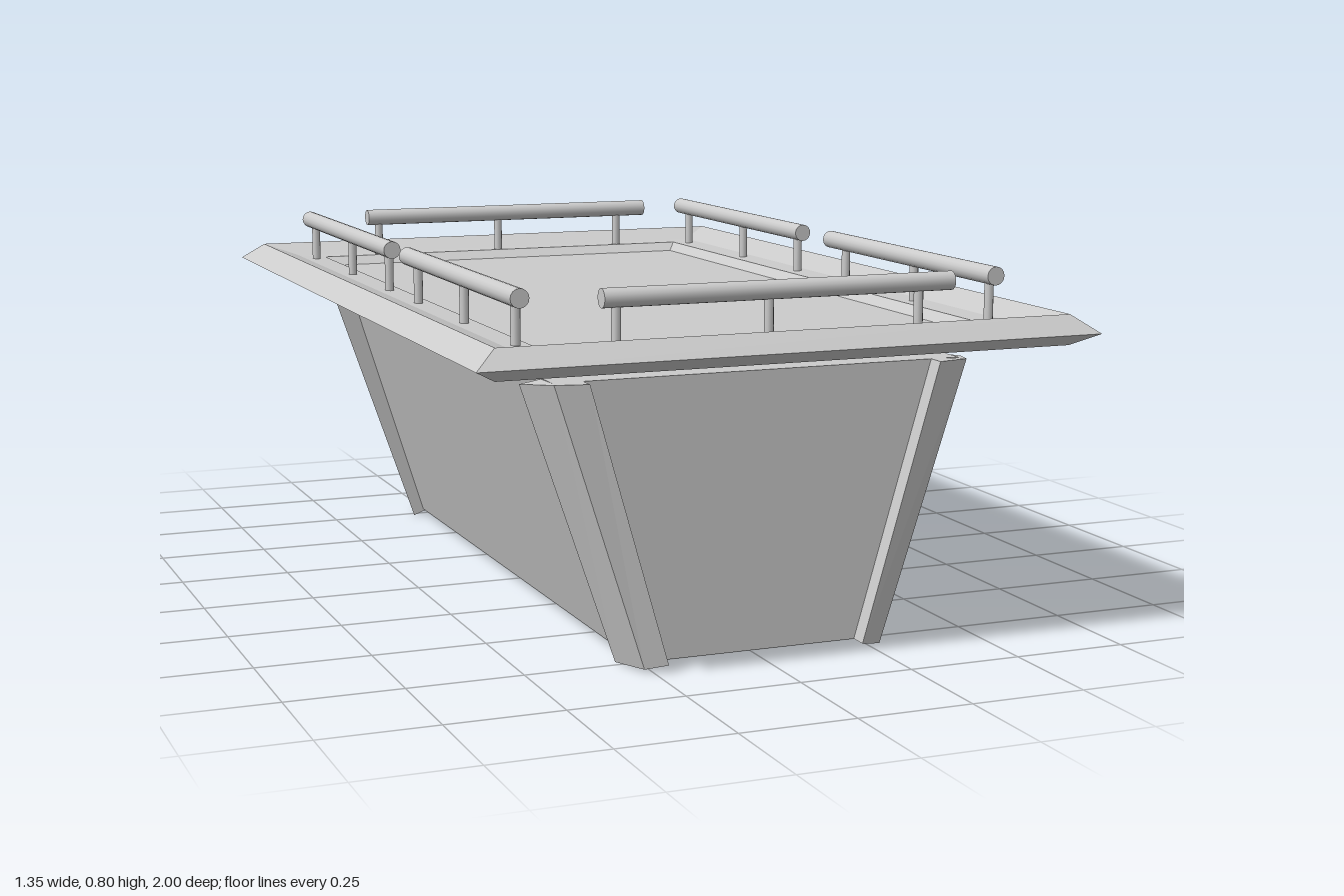
import * as THREE from 'three';

const material = new THREE.MeshStandardMaterial({ color: 0xcccccc, flatShading: true });
const smooth = new THREE.MeshStandardMaterial({ color: 0xcccccc });

// Skins a stack of equal rings (counter-clockwise seen from above, bottom to top).
function loft(rings) {
  const n = rings[0].length, pos = [];
  const tri = (a, b, c) => pos.push(...a, ...b, ...c);
  for (let r = 0; r + 1 < rings.length; r++) {
    for (let i = 0; i < n; i++) {
      const j = (i + 1) % n, lo = rings[r], hi = rings[r + 1];
      tri(lo[i], lo[j], hi[j]);
      tri(lo[i], hi[j], hi[i]);
    }
  }
  const first = rings[0], last = rings[rings.length - 1];
  for (let i = 1; i < n - 1; i++) {
    tri(first[0], first[i + 1], first[i]);
    tri(last[0], last[i], last[i + 1]);
  }
  const geometry = new THREE.BufferGeometry();
  geometry.setAttribute('position', new THREE.Float32BufferAttribute(pos, 3));
  geometry.computeVertexNormals();
  return geometry;
}

const rectangle = ([x, y, z]) => [[-x, y, z], [x, y, z], [x, y, -z], [-x, y, -z]];

function add(parent, name, geometry, mat = material) {
  const mesh = new THREE.Mesh(geometry, mat);
  mesh.name = name;
  parent.add(mesh);
  return mesh;
}

// Half width of the tapered body at a height
const bodyHalfWidth = y => 0.27 + 0.185 * (y - 0.015) / 0.59;

// Corner post: angled cross-section wrapping the body's corner and following its slope
function cornerPost(sx, sz) {
  const section = [[0, 0.78], [0, 0.84], [0.07, 0.825], [0.11, 0.73], [0.05, 0.73]];
  const ring = (y, drops, inner, scale) => section.map(([dx, z], i) =>
    [sx * (inner + dx * scale), y - drops[i], sz * z]);
  const bottom = ring(0.015, [0, 0, 0.008, 0.015, 0], 0.22, 0.68);
  const top = ring(0.605, [0, 0, 0, 0.01, 0], 0.39, 1);
  // Mirrored sections run the other way round
  if (sx * sz < 0) { bottom.reverse(); top.reverse(); }
  return loft([bottom, top]);
}

// Handrail: a round bar from one end to the other, on short stanchions
function handrail(axis, offset, from, to, stands) {
  const rail = new THREE.Group();
  rail.name = 'handrail';
  const bar = add(rail, 'railBar', new THREE.CylinderGeometry(0.02, 0.02, to - from, 16), smooth);
  const mid = (from + to) / 2;
  if (axis === 'x') {
    bar.rotation.z = Math.PI / 2;
    bar.position.set(mid, 0.777, offset);
  } else {
    bar.rotation.x = Math.PI / 2;
    bar.position.set(offset, 0.777, mid);
  }
  for (const s of stands) {
    const stand = add(rail, 'railStand', new THREE.CylinderGeometry(0.01, 0.01, 0.1, 10), smooth);
    stand.position.set(axis === 'x' ? s : offset, 0.725, axis === 'x' ? offset : s);
  }
  return rail;
}

export function createModel() {
  const model = new THREE.Group();
  model.name = 'railedPlatform';

  // Tapered body, and the narrower neck between it and the deck
  add(model, 'body', loft([0.015, 0.605].map(y => rectangle([bodyHalfWidth(y), y, 0.8]))));
  add(model, 'neck', loft([[0.39, 0.6, 0.73], [0.39, 0.645, 0.73]].map(rectangle)));

  // Deck with a pointed edge, a dished top and a sunken floor
  add(model, 'deck', loft([
    [0.39, 0.638, 0.73], [0.42, 0.643, 0.76], [0.625, 0.643, 0.955], [0.676, 0.67, 1],
    [0.625, 0.708, 0.957], [0.55, 0.682, 0.895], [0.49, 0.68, 0.845], [0.47, 0.66, 0.82],
  ].map(rectangle)));

  // Posts on the four corners
  for (const sx of [-1, 1]) {
    for (const sz of [-1, 1]) add(model, 'cornerPost', cornerPost(sx, sz));
  }

  // Raised panel on the left flank, lying on the slope
  const panelRing = y => [
    [bodyHalfWidth(y) - 0.02, y, 0.36], [bodyHalfWidth(y) + 0.02, y, 0.36],
    [bodyHalfWidth(y) + 0.02, y, -0.355], [bodyHalfWidth(y) - 0.02, y, -0.355],
  ];
  add(model, 'sidePanel', loft([panelRing(0.127), panelRing(0.347)]));

  // Handrails at both ends and two along each side
  for (const z of [-0.857, 0.857]) {
    model.add(handrail('x', z, -0.373, 0.401, [-0.342, -0.013, 0.325]));
  }
  for (const side of [-1, 1]) {
    const shift = side > 0 ? 0.028 : 0;
    model.add(handrail('z', side * 0.522, -0.87, -0.097, [-0.81, -0.45, -0.125]));
    model.add(handrail('z', side * 0.522, 0.027 + shift, 0.803 + shift,
      [0.11, 0.445, 0.775].map(z => z + shift)));
  }
  return model;
}
